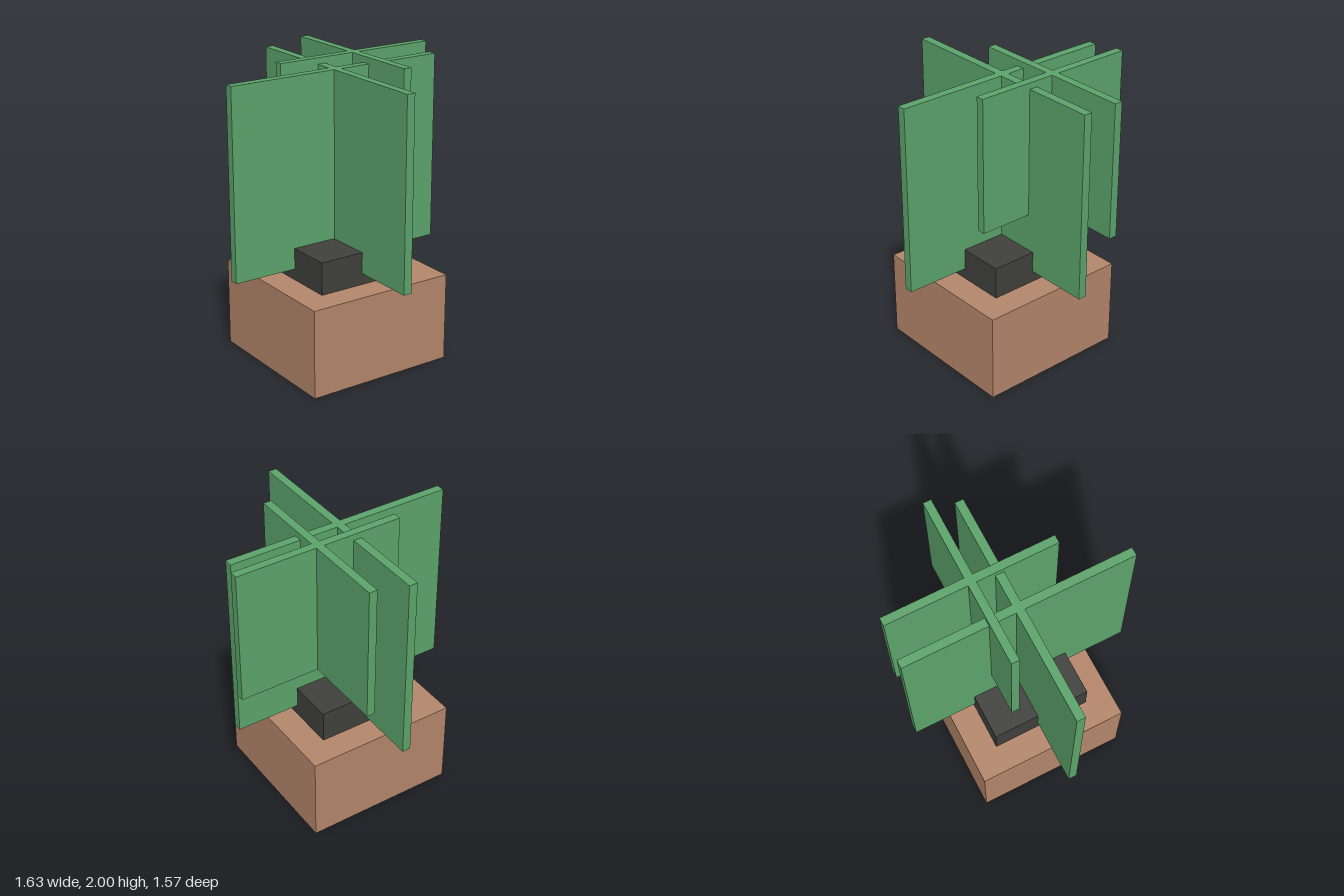
import * as THREE from 'three';

const material = (color) => new THREE.MeshStandardMaterial({ color, flatShading: true });

// Box given by its size and the centre of its underside
function block(name, [w, h, d], [x, y, z], mat) {
  const mesh = new THREE.Mesh(new THREE.BoxGeometry(w, h, d), mat);
  mesh.name = name;
  mesh.position.set(x, y + h / 2, z);
  return mesh;
}

// Two upright slabs of foliage crossing at right angles
function crossedLeaves(name, span, height, thickness, [x, y, z], mat) {
  const group = new THREE.Group();
  group.name = name;
  group.position.set(x, y, z);
  group.add(
    block('leafSlabAcross', [span, height, thickness], [0, 0, 0], mat),
    block('leafSlabAlong', [thickness, height, span], [0, 0, 0], mat),
  );
  return group;
}

export function createModel() {
  const plant = new THREE.Group();
  plant.name = 'pottedPlant';
  const clay = material(0xb5876b);
  const earth = material(0x40403d);
  const green = material(0x5da56c);

  // Pot with a raised block of soil
  plant.add(block('pot', [1.045, 0.6, 1.045], [-0.036, 0, 0], clay));
  plant.add(block('soil', [0.684, 0.22, 0.684], [-0.036, 0.6, 0], earth));

  // Main foliage, and a smaller, higher cluster set back to one side
  plant.add(crossedLeaves('mainLeaves', 1.567, 1.282, 0.058, [-0.036, 0.676, 0], green));
  plant.add(crossedLeaves('upperLeaves', 1.164, 0.92, 0.056, [0.233, 1.08, -0.181], green));
  return plant;
}
